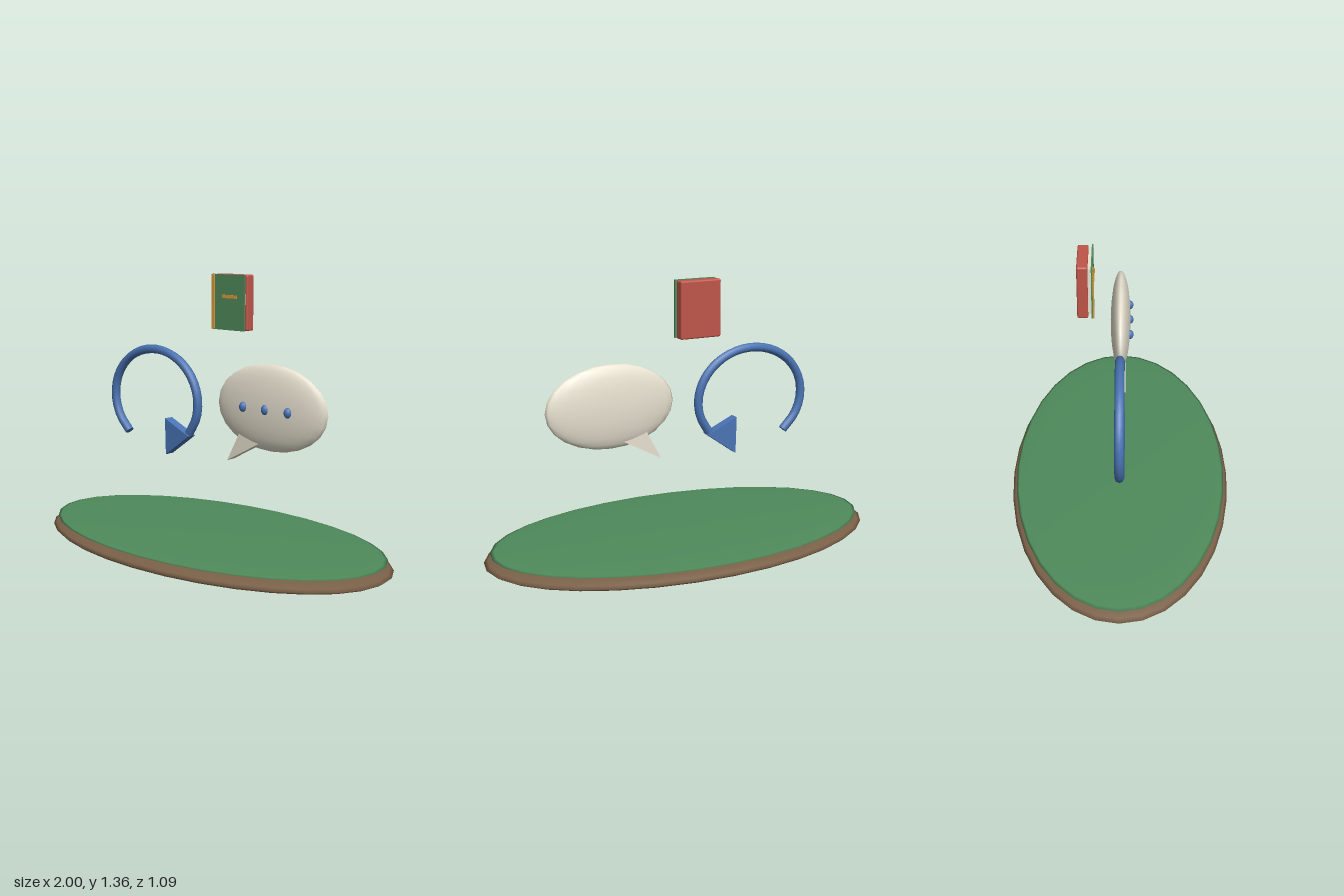
import * as THREE from 'three';
import { RoundedBoxGeometry } from 'three/addons/geometries/RoundedBoxGeometry.js';

const paint = (color) => new THREE.MeshStandardMaterial({ color });
const green = paint(0x4f8a5b);
const brown = paint(0x7a6048);
const blue = paint(0x4a74b4);
const cream = paint(0xe8e2d0);
const red = paint(0xc0564a);
const gold = paint(0xd99a3a);

function add(parent, name, geometry, material, x = 0, y = 0, z = 0) {
  const mesh = new THREE.Mesh(geometry, material);
  mesh.name = name;
  mesh.position.set(x, y, z);
  parent.add(mesh);
  return mesh;
}

// Squashed sphere with the given radii
const ellipsoid = (rx, ry, rz, around, up) =>
  new THREE.SphereGeometry(1, around, up).scale(rx, ry, rz);

// Flat polygon given a thickness centred on z = 0
function slab(points, depth) {
  const shape = new THREE.Shape(points.map(([x, y]) => new THREE.Vector2(x, y)));
  return new THREE.ExtrudeGeometry(shape, { depth, bevelEnabled: false }).translate(0, 0, -depth / 2);
}

function group(parent, name) {
  const g = new THREE.Group();
  g.name = name;
  parent.add(g);
  return g;
}

export function createModel() {
  const model = new THREE.Group();
  model.name = 'floatingIconsOverIsland';

  // Lens-shaped ground with a grass layer on top
  const island = group(model, 'island');
  add(island, 'soil', ellipsoid(1, 0.06, 0.545, 32, 16), brown, 0, 0.06, 0);
  add(island, 'grass', ellipsoid(0.97, 0.018, 0.525, 32, 16), green, 0, 0.105, 0);

  // Curved arrow: open oval loop with a triangular head
  const arrow = group(model, 'loopArrow');
  const path = [];
  const start = THREE.MathUtils.degToRad(229);
  const end = THREE.MathUtils.degToRad(-37);
  for (let i = 0; i <= 12; i++) {
    const a = THREE.MathUtils.lerp(start, end, i / 12);
    path.push(new THREE.Vector3(-0.38 + 0.291 * Math.cos(a), 0.73 + 0.25 * Math.sin(a), 0));
  }
  const curve = new THREE.CatmullRomCurve3(path);
  add(arrow, 'arrowShaft', new THREE.TubeGeometry(curve, 32, 0.022, 8), blue);
  for (const [t, turn] of [[0, 1], [1, -1]]) {
    const cap = add(arrow, 'shaftEnd', new THREE.CircleGeometry(0.022, 8), blue);
    cap.position.copy(curve.getPointAt(t));
    cap.lookAt(cap.position.clone().addScaledVector(curve.getTangentAt(t), -turn));
  }
  add(arrow, 'arrowHead', slab([[-0.29, 0.642], [-0.285, 0.46], [-0.13, 0.57]], 0.05), blue);

  // Speech bubble with tail and three dots
  const bubble = group(model, 'speechBubble');
  add(bubble, 'bubbleBody', ellipsoid(0.324, 0.203, 0.05, 24, 12), cream, 0.373, 0.765, 0);
  add(bubble, 'bubbleTail', slab([[0.125, 0.49], [0.335, 0.603], [0.21, 0.65]], 0.05), cream);
  for (const x of [0.241, 0.373, 0.505]) {
    add(bubble, 'bubbleDot', ellipsoid(0.019, 0.024, 0.018, 12, 8), blue, x, 0.763, 0.047);
  }

  // Closed book: back cover block, pages, front cover, gold trim
  const book = group(model, 'book');
  book.position.set(-0.002, 1.224, 0);
  add(book, 'backCover', new RoundedBoxGeometry(0.205, 0.268, 0.05, 2, 0.008), red, 0, 0, -0.169);
  add(book, 'pages', new THREE.BoxGeometry(0.18, 0.235, 0.024), cream, 0, 0, -0.14);
  add(book, 'frontCover', new THREE.BoxGeometry(0.205, 0.268, 0.007), green, 0, 0, -0.1255);
  add(book, 'spineStrip', new THREE.BoxGeometry(0.016, 0.264, 0.008), gold, -0.0945, 0, -0.12);
  add(book, 'titleBar', new THREE.BoxGeometry(0.092, 0.016, 0.008), gold, 0.012, 0.028, -0.12);

  return model;
}
